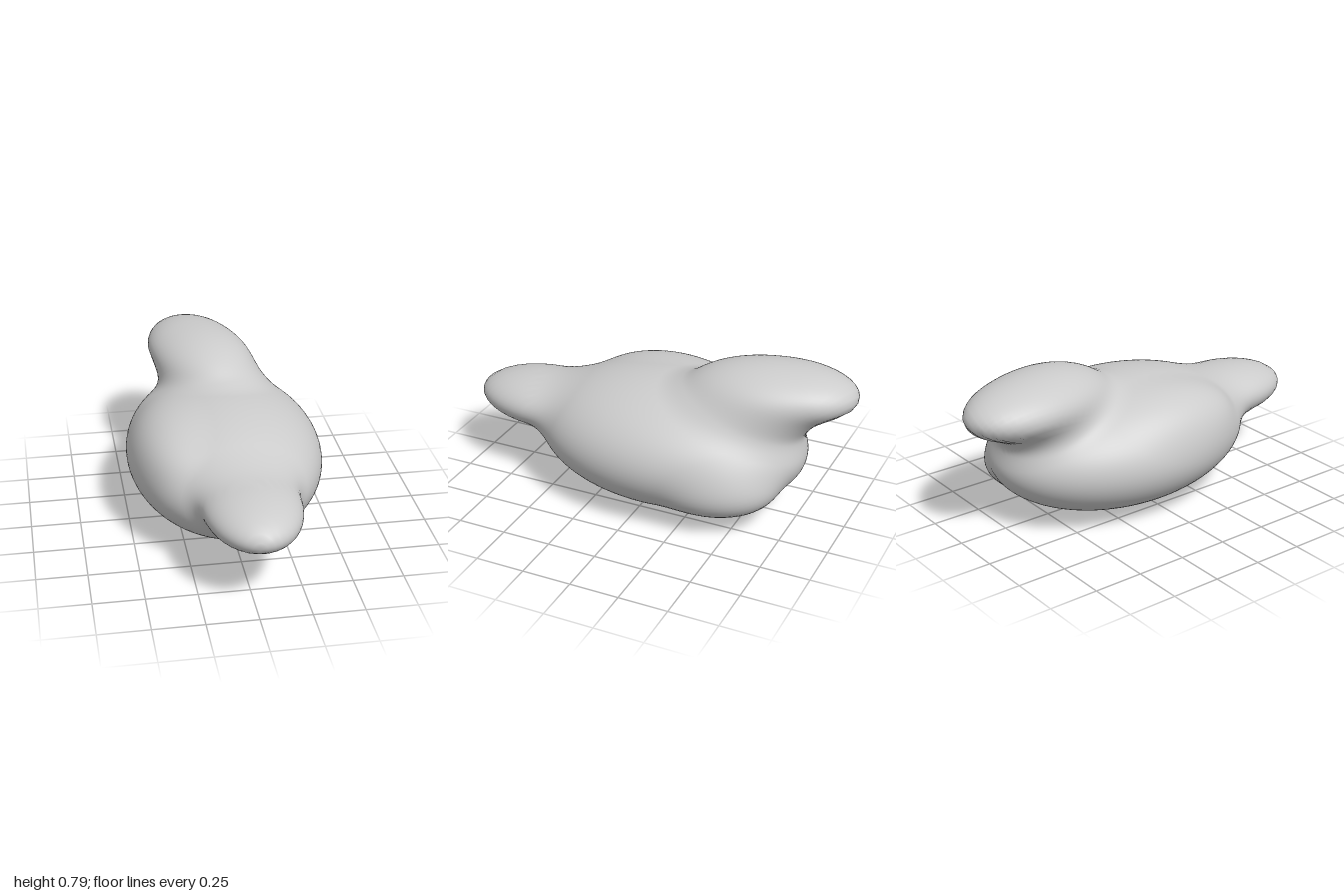
import * as THREE from 'three';

// Soft lobes: centre, radii, yaw about y, blend width
const lobes = [
  { c: [0, 0.324, -0.065], r: [0.495, 0.324, 0.71], yaw: 0, k: 0 },         // main body
  { c: [0.025, 0.385, 0.62], r: [0.24, 0.132, 0.38], yaw: 0, k: 0.085 },    // snout
  { c: [0.005, 0.555, -0.45], r: [0.24, 0.185, 0.335], yaw: 0.15, k: 0.11 }, // neck under the rear lobe
  { c: [-0.06, 0.65, -0.615], r: [0.24, 0.141, 0.385], yaw: 0.2, k: 0.1 },  // raised rear lobe
  { c: [0.25, 0.23, -0.43], r: [0.18, 0.135, 0.26], yaw: 0.25, k: 0.1 },    // rear side bulge
  { c: [-0.26, 0.44, 0.07], r: [0.165, 0.145, 0.31], yaw: 0, k: 0.11 },     // upper shoulder
].map((l) => ({ ...l, cos: Math.cos(l.yaw), sin: Math.sin(l.yaw) }));

function lobeDistance(l, x, y, z) {
  const dx = x - l.c[0], dy = y - l.c[1], dz = z - l.c[2];
  const u = (l.cos * dx - l.sin * dz) / l.r[0];
  const v = dy / l.r[1];
  const w = (l.sin * dx + l.cos * dz) / l.r[2];
  const k0 = Math.hypot(u, v, w);
  const k1 = Math.hypot(u / l.r[0], v / l.r[1], w / l.r[2]);
  return k1 < 1e-6 ? -Math.min(...l.r) : (k0 * (k0 - 1)) / k1;
}

// Smooth union of all lobes
function field(x, y, z) {
  let d = lobeDistance(lobes[0], x, y, z);
  for (let i = 1; i < lobes.length; i++) {
    const e = lobeDistance(lobes[i], x, y, z), k = lobes[i].k;
    const h = Math.max(k - Math.abs(d - e), 0) / k;
    d = Math.min(d, e) - (h * h * k) / 4;
  }
  return d;
}

// Distance from the core to the outer surface along a direction
function surfaceRadius(o, d) {
  const f = (t) => field(o.x + d.x * t, o.y + d.y * t, o.z + d.z * t);
  let t = 1.4;
  while (t > 0.05 && f(t) > 0) t -= 0.02;
  let lo = t, hi = t + 0.02;
  for (let i = 0; i < 14; i++) {
    const mid = (lo + hi) / 2;
    if (f(mid) > 0) hi = mid; else lo = mid;
  }
  return lo;
}

export function createModel() {
  const group = new THREE.Group();
  group.name = 'softBlob';

  // Sphere with its poles along z, pushed out to the blended surface
  const geo = new THREE.SphereGeometry(1, 112, 96);
  geo.rotateX(Math.PI / 2);
  const pos = geo.attributes.position, nor = geo.attributes.normal;
  const core = new THREE.Vector3(0, 0.37, -0.05);
  const p = new THREE.Vector3(), n = new THREE.Vector3();
  const e = 0.004;
  for (let i = 0; i < pos.count; i++) {
    p.fromBufferAttribute(pos, i).normalize();
    p.multiplyScalar(surfaceRadius(core, p)).add(core);
    n.set(
      field(p.x + e, p.y, p.z) - field(p.x - e, p.y, p.z),
      field(p.x, p.y + e, p.z) - field(p.x, p.y - e, p.z),
      field(p.x, p.y, p.z + e) - field(p.x, p.y, p.z - e)
    ).normalize();
    pos.setXYZ(i, p.x, p.y, p.z);
    nor.setXYZ(i, n.x, n.y, n.z);
  }

  const body = new THREE.Mesh(geo, new THREE.MeshStandardMaterial({ color: 0xcccccc }));
  body.name = 'body';
  group.add(body);
  return group;
}
